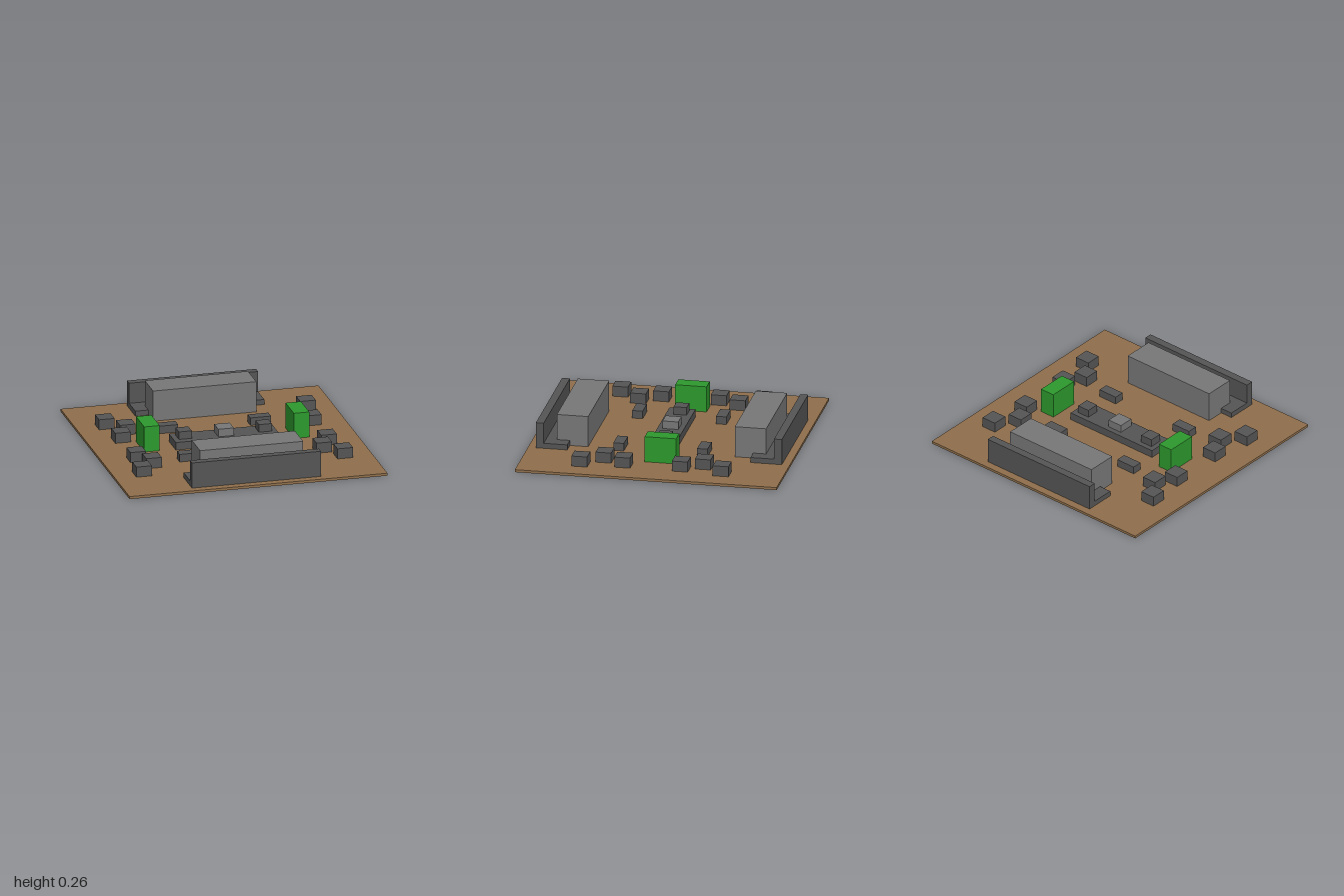
import * as THREE from 'three';

const mat = (name, color) => {
  const m = new THREE.MeshStandardMaterial({ color });
  m.name = name;
  return m;
};

export function createModel() {
  const brown = mat('brown ground', 0x8f6f4c);
  const dark = mat('dark grey', 0x555555);
  const light = mat('light grey', 0x777777);
  const green = mat('green', 0x2d992d);

  const model = new THREE.Group();
  model.name = 'arena';

  // Box given by its lower and upper bounds on each axis
  const block = (name, material, [x0, x1], [y0, y1], [z0, z1]) => {
    const mesh = new THREE.Mesh(new THREE.BoxGeometry(x1 - x0, y1 - y0, z1 - z0), material);
    mesh.position.set((x0 + x1) / 2, (y0 + y1) / 2, (z0 + z1) / 2);
    mesh.name = name;
    model.add(mesh);
  };
  // Bounds around a centre
  const around = (c, size) => [c - size / 2, c + size / 2];
  const floor = 0.02;

  // Ground plate
  block('ground', brown, [-1, 1], [0, floor], [-1, 1]);

  // Two facing end structures: step, rear wall and large block
  for (const s of [-1, 1]) {
    block('endStep', dark, [-0.5, 0.5], [floor, 0.06], around(s * 0.79, 0.18));
    block('endWall', dark, [-0.5, 0.5], [floor, 0.22], around(s * 0.91, 0.06));
    block('endBlock', light, [-0.4, 0.4], [floor, 0.26], around(s * 0.68, 0.24));
  }

  // Central platform with three small boxes
  block('centrePlatform', dark, [-0.4, 0.4], [floor, 0.08], [-0.1, 0.1]);
  block('centreBox', light, around(0, 0.12), [0.08, 0.14], around(0, 0.12));

  for (const s of [-1, 1]) {
    block('platformBox', dark, around(s * 0.31, 0.1), [0.08, 0.14], [-0.06, 0.04]);
    // Green side blocks
    block('greenBlock', green, around(s * 0.58, 0.12), [floor, 0.22], [-0.16, 0.08]);
    for (const t of [-1, 1]) {
      // Low barriers
      block('lowBarrier', dark, around(s * 0.36, 0.16), [floor, 0.08], around(t * 0.32, 0.08));
      // Staggered crates
      for (const [x, z] of [[0.78, 0.54], [0.66, 0.38], [0.74, 0.22]]) {
        block('crate', dark, around(s * x, 0.12), [floor, 0.1], around(t * z, 0.12));
      }
    }
  }
  return model;
}
